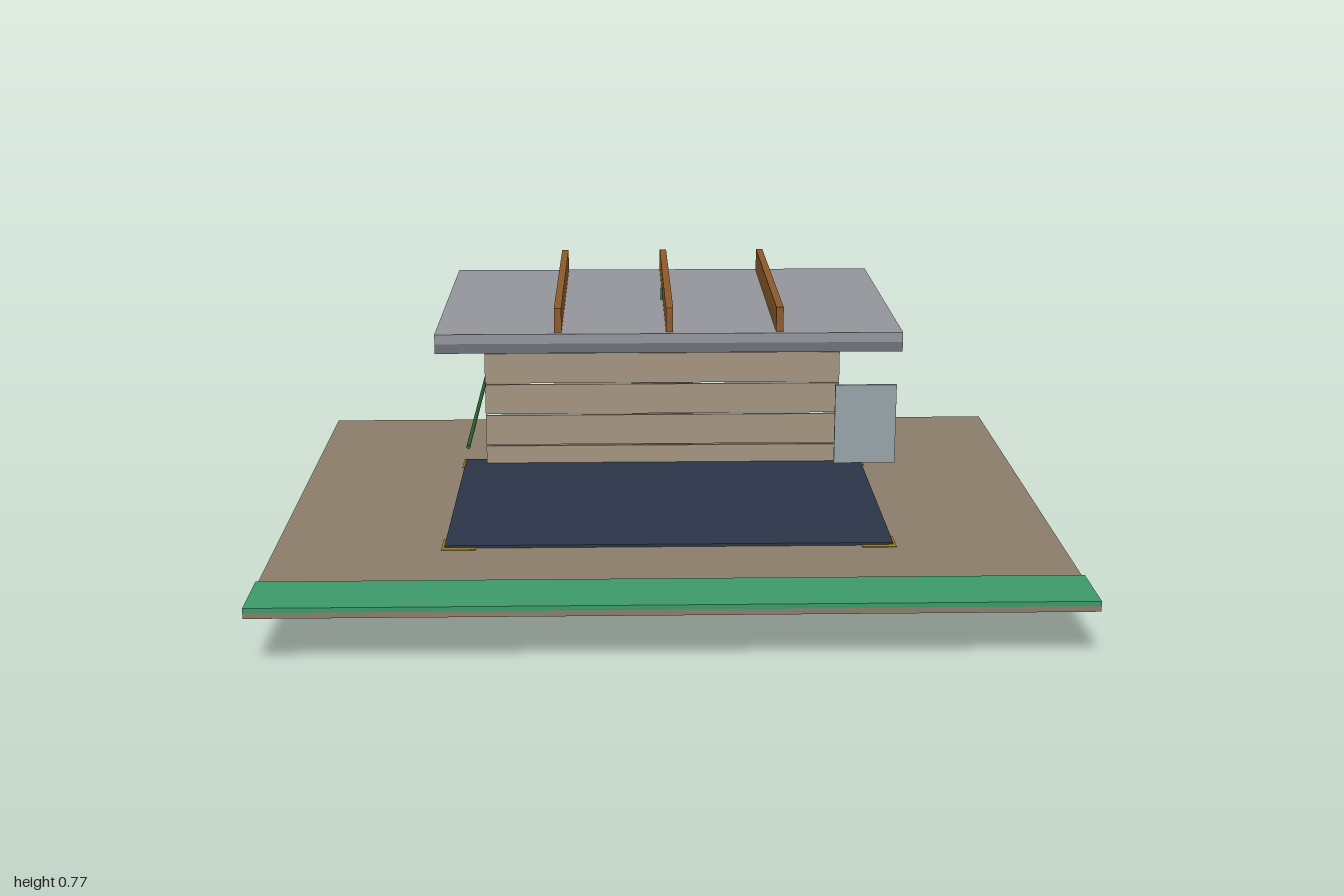
import * as THREE from 'three';

const COLORS = {
  earth: 0x8b7d6b, grass: 0x3c9a6a, navy: 0x2c3548, gold: 0x9a771f,
  plank: 0xa39480, groove: 0x5c5348, concrete: 0x96969c, slab: 0x7c7d85,
  roof: 0x94959b, fascia: 0x6e7078, beam: 0x8b5a2b, rod: 0x2d5a2d,
  pipe: 0x2f7a3c, door: 0x8f9496, glass: 0x95a3a8,
};

const CZ = 0.06; // the building's middle along z

export function createModel() {
  const model = new THREE.Group();
  const mats = {};
  for (const key in COLORS) mats[key] = new THREE.MeshStandardMaterial({ color: COLORS[key] });

  const add = (name, geometry, color, parent = model) => {
    const mesh = new THREE.Mesh(geometry, mats[color]);
    mesh.name = name;
    parent.add(mesh);
    return mesh;
  };

  // Box given by its limits on each axis
  const box = (name, color, [x0, x1], [y0, y1], [z0, z1], parent) => {
    const mesh = add(name, new THREE.BoxGeometry(x1 - x0, y1 - y0, z1 - z0), color, parent);
    mesh.position.set((x0 + x1) / 2, (y0 + y1) / 2, (z0 + z1) / 2);
  };

  // Round bar running along z
  const bar = (name, color, x, y, z0, z1, r) => {
    const mesh = add(name, new THREE.CylinderGeometry(r, r, z1 - z0, 16), color);
    mesh.rotation.x = Math.PI / 2;
    mesh.position.set(x, y, (z0 + z1) / 2);
  };

  const group = (name) => {
    const g = new THREE.Group();
    g.name = name;
    model.add(g);
    return g;
  };

  // Site
  box('ground', 'earth', [-1, 1], [0.131, 0.145], [-0.757, 0.871]);
  box('grassStrip', 'grass', [-1, 1], [0.145, 0.157], [0.695, 0.871]);

  // Foundation under the ground
  const foundation = group('foundation');
  box('footing', 'concrete', [-0.583, 0.583], [0, 0.065], [CZ - 0.405, CZ + 0.405], foundation);
  box('upperFooting', 'slab', [-0.575, 0.575], [0.065, 0.11], [CZ - 0.397, CZ + 0.397], foundation);
  box('sillFrame', 'gold', [-0.58, 0.58], [0.11, 0.131], [CZ - 0.4, CZ + 0.4], foundation);

  // Corner brackets: a front plate, a side plate and a cap at each corner
  for (const sx of [-1, 1]) {
    for (const sz of [-1, 1]) {
      const corner = group('cornerBracket');
      const rangeX = (a, b) => (sx > 0 ? [a, b] : [-b, -a]);
      const rangeZ = (a, b) => (sz > 0 ? [CZ + a, CZ + b] : [CZ - b, CZ - a]);
      box('endPlate', 'gold', rangeX(0.455, 0.562), [0, 0.132], rangeZ(0.405, 0.417), corner);
      box('sidePlate', 'gold', rangeX(0.583, 0.6), [0, 0.132], rangeZ(0.278, 0.384), corner);
      box('cornerCap', 'gold', rangeX(0.49, 0.577), [0.11, 0.147], rangeZ(0.31, 0.392), corner);
    }
    // Pipes running under the ground
    bar('undergroundPipe', 'pipe', sx * 0.513, 0.123, -0.54, 0.665, 0.012);
  }

  // Floor
  box('floor', 'navy', [-0.57, 0.57], [0.145, 0.152], [-0.315, 0.435]);

  // Back wall: planks with open joints and a thin strip along the outside of each
  const wall = group('backWall');
  const joints = [0.152, 0.205, 0.296, 0.387, 0.478, 0.569, 0.657];
  for (let i = 0; i < joints.length - 1; i++) {
    const y0 = joints[i] + (i ? 0.002 : 0);
    const y1 = joints[i + 1] - 0.002;
    box('plank', 'plank', [-0.508, 0.503], [y0, y1], [-0.282, -0.274], wall);
    if (i === 0) continue;
    const mid = (y0 + y1) / 2;
    box('plankStrip', 'groove', [-0.508, 0.503], [mid - 0.003, mid + 0.003], [-0.289, -0.282], wall);
  }
  box('door', 'door', [-0.09, 0.086], [0.166, 0.545], [-0.3, -0.291]);

  // Hanging side window
  box('sideWindow', 'glass', [0.455, 0.62], [0.25, 0.468], [0.056, 0.064]);

  // Roof
  const roof = group('roof');
  box('roofUnderside', 'fascia', [-0.577, 0.575], [0.657, 0.681], [-0.337, 0.452], roof);
  box('roofTop', 'roof', [-0.577, 0.575], [0.681, 0.705], [-0.337, 0.452], roof);
  for (const x of [-0.275, 0, 0.272]) {
    box('roofBeam', 'beam', [x - 0.009, x + 0.009], [0.705, 0.766], [-0.318, 0.435], roof);
  }
  const fitting = add('roofFitting', new THREE.CylinderGeometry(0.013, 0.013, 0.03, 16), 'pipe', roof);
  fitting.position.set(-0.002, 0.72, 0.055);

  // Long horizontal rod beside the wall
  bar('sideRod', 'rod', -0.51, 0.385, -0.877, 0.342, 0.005);

  return model;
}
